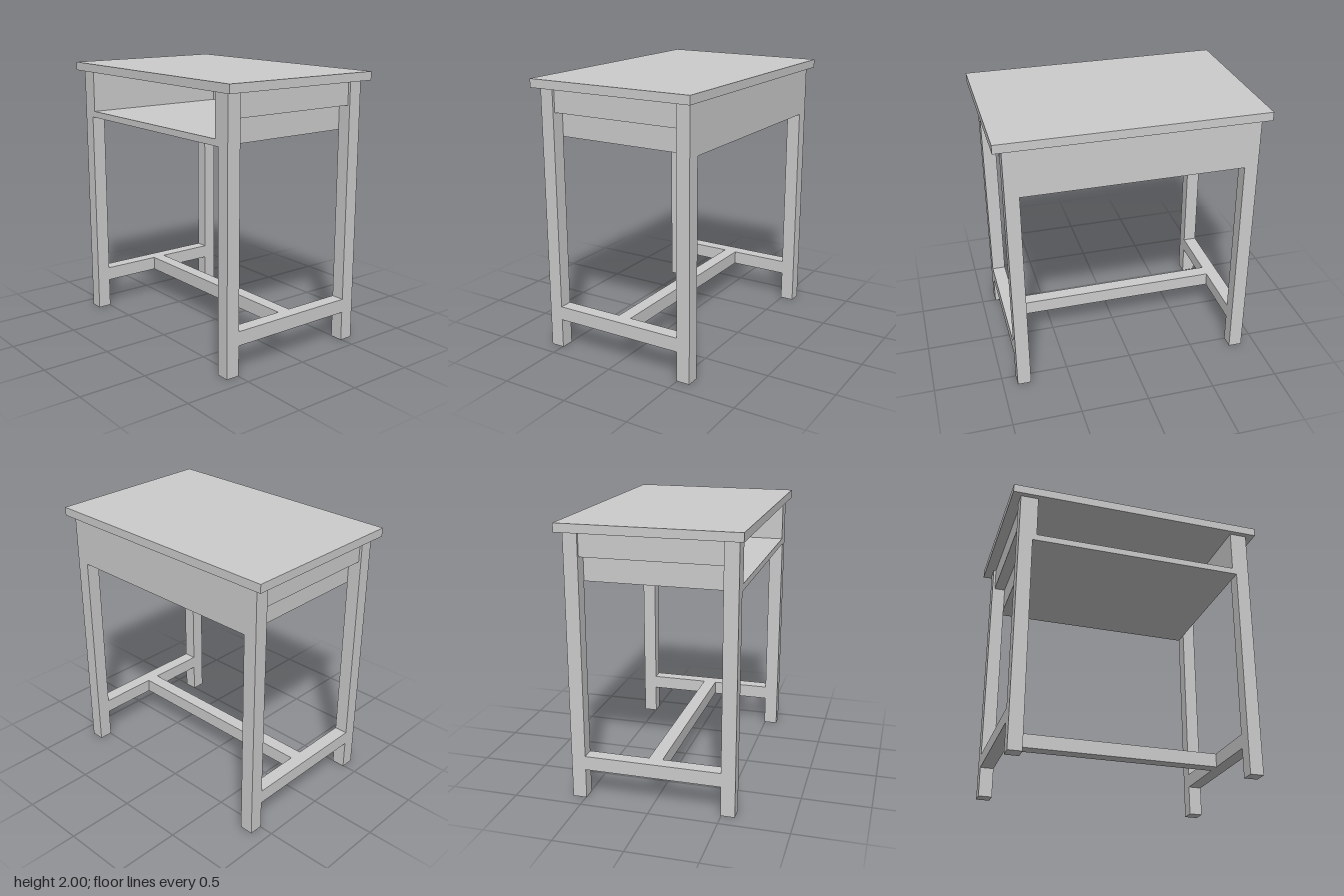
import * as THREE from 'three';

export function createModel() {
  const desk = new THREE.Group();
  desk.name = 'desk';
  const material = new THREE.MeshStandardMaterial({ color: 0xcccccc, flatShading: true });

  // Box given by its [min, max] range on each axis
  const addBox = (name, [x0, x1], [y0, y1], [z0, z1]) => {
    const mesh = new THREE.Mesh(new THREE.BoxGeometry(x1 - x0, y1 - y0, z1 - z0), material);
    mesh.position.set((x0 + x1) / 2, (y0 + y1) / 2, (z0 + z1) / 2);
    mesh.name = name;
    desk.add(mesh);
  };
  const mirrored = ([a, b], s) => (s > 0 ? [a, b] : [-b, -a]);

  const topY = 1.938;             // underside of the desktop
  const legX = [0.793, 0.893];    // leg section, left side
  const legZ = [0.495, 0.597];    // leg section, front
  const inX = legX[0], inZ = legZ[0], outZ = legZ[1];
  const wall = 0.03, floorTop = 1.63, boxBottom = 1.583;

  addBox('desktop', [-0.955, 0.955], [topY, 2], [-0.635, 0.635]);

  // Storage compartment, open at the front
  addBox('compartmentFloor', [-inX, inX], [boxBottom, floorTop], [-outZ, outZ]);
  addBox('compartmentBack', [-inX, inX], [floorTop, topY], [-outZ, -outZ + wall]);

  for (const s of [1, -1]) {
    const side = s > 0 ? 'left' : 'right';
    addBox(side + 'FrontLeg', mirrored(legX, s), [0, topY], legZ);
    addBox(side + 'BackLeg', mirrored(legX, s), [0, topY], mirrored(legZ, -1));
    addBox(side + 'CompartmentWall', mirrored([inX - wall, inX], s), [floorTop, topY], [-outZ + wall, outZ]);
    addBox(side + 'Apron', mirrored([inX, 0.875], s), [1.765, topY], [-inZ, inZ]);
    addBox(side + 'Stretcher', mirrored(legX, s), [0.22, 0.323], [-inZ, inZ]);
  }

  // Cross bar joining the side stretchers
  addBox('centreStretcher', [-inX, inX], [0.22, 0.323], [-0.05, 0.05]);

  return desk;
}
